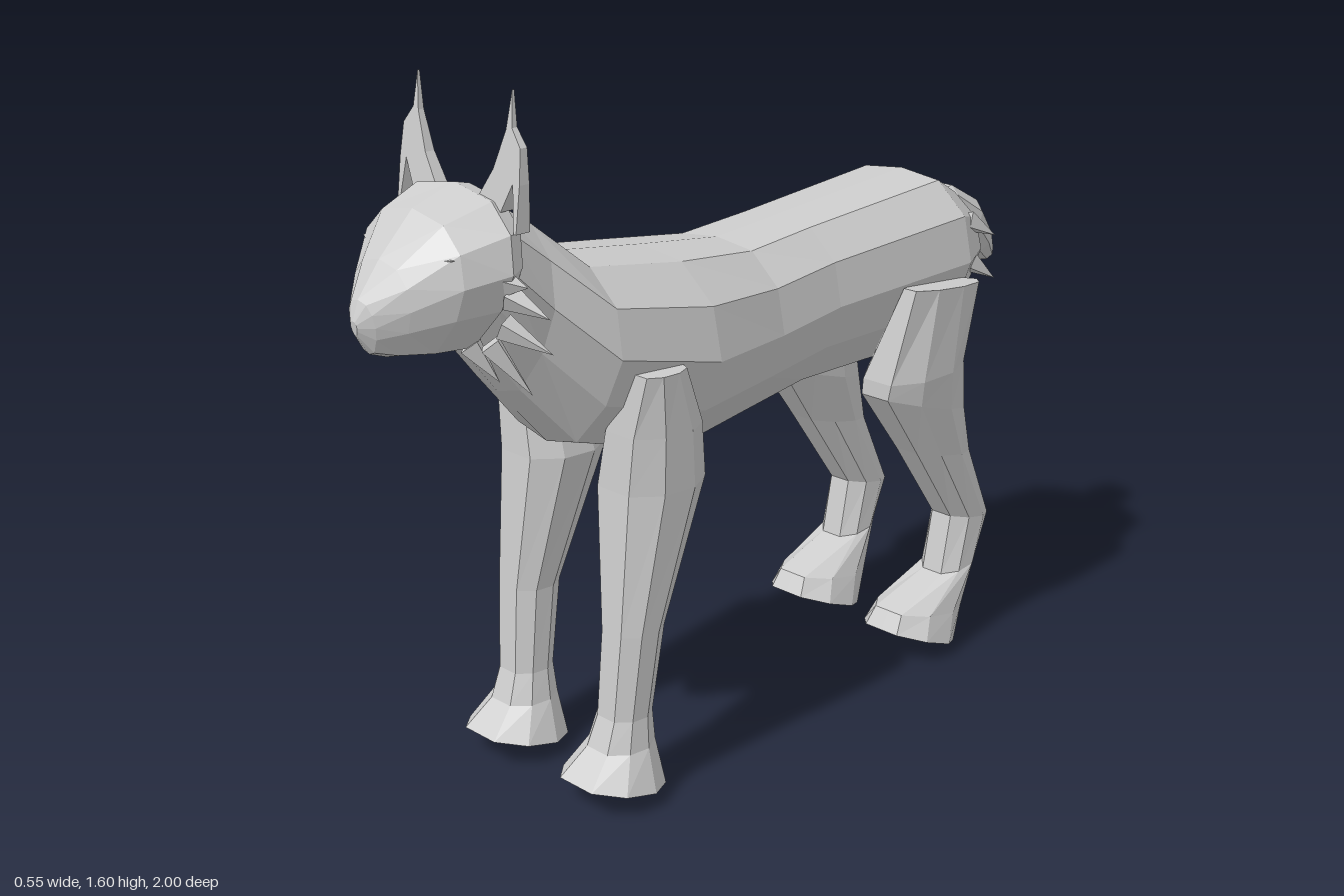
import * as THREE from 'three';

const fur = new THREE.MeshStandardMaterial({ color: 0xcccccc });
fur.name = 'grey fur';

// Half outlines (u across, v along the ring axis), mirrored into closed loops, counter-clockwise.
const closed = half => [...half, ...half.slice(1, -1).reverse().map(([u, v]) => [-u, v])];
const TORSO = closed([[0, -1], [0.42, -0.9], [0.8, -0.42], [1, 0.1], [0.9, 0.6], [0.52, 0.94], [0, 1]]);
const HEAD = closed([[0, -1], [0.45, -0.88], [0.85, -0.35], [1, 0.1], [0.92, 0.55], [0.6, 0.88], [0, 1]]);
const LIMB = closed([[0, -1], [0.65, -0.8], [1, -0.2], [0.92, 0.5], [0.45, 1], [0, 1]]);

// Faceted skin through rings [zA, yA, zB, yB, xMin, xMax], with both ends capped.
function loft(name, outline, rings) {
  const n = outline.length, pos = [], index = [];
  for (const [zA, yA, zB, yB, x0, x1] of rings) {
    for (const [u, v] of outline) {
      const t = (v + 1) / 2;
      pos.push((x0 + x1) / 2 + u * (x1 - x0) / 2, yB + (yA - yB) * t, zB + (zA - zB) * t);
    }
  }
  for (let i = 0; i < rings.length - 1; i++) {
    for (let j = 0; j < n; j++) {
      const a = i * n + j, b = i * n + (j + 1) % n;
      index.push(a, b, b + n, a, b + n, a + n);
    }
  }
  const last = (rings.length - 1) * n;
  for (let j = 1; j < n - 1; j++) {
    index.push(0, j + 1, j, last, last + j, last + j + 1);
  }
  const indexed = new THREE.BufferGeometry();
  indexed.setAttribute('position', new THREE.Float32BufferAttribute(pos, 3));
  indexed.setIndex(index);
  return mesh(name, indexed);
}

function mesh(name, geometry) {
  const flat = geometry.index ? geometry.toNonIndexed() : geometry;
  flat.computeVertexNormals();
  const m = new THREE.Mesh(flat, fur);
  m.name = name;
  return m;
}

// Pointed fur tuft from a base point to a tip
function tuft(name, base, tip, radius) {
  const a = new THREE.Vector3(...base), b = new THREE.Vector3(...tip);
  const dir = b.clone().sub(a), len = dir.length();
  const cone = new THREE.ConeGeometry(radius, len, 4).translate(0, len / 2, 0);
  cone.applyQuaternion(new THREE.Quaternion().setFromUnitVectors(new THREE.Vector3(0, 1, 0), dir.normalize()));
  cone.translate(a.x, a.y, a.z);
  return mesh(name, cone);
}

const symmetric = rings => rings.map(([zA, yA, zB, yB, w]) => [zA, yA, zB, yB, -w, w]);
const onSide = (rings, s) => rings.map(([zA, yA, zB, yB, i, o]) =>
  [zA, yA, zB, yB, s > 0 ? i : -o, s > 0 ? o : -i]);

// Rings run from rump to neck: top z, top y, bottom z, bottom y, half width
const BODY = [
  [-0.80, 1.09, -0.82, 0.93, 0.08],
  [-0.75, 1.15, -0.77, 0.84, 0.17],
  [-0.65, 1.205, -0.66, 0.76, 0.22],
  [-0.20, 1.17, -0.20, 0.765, 0.20],
  [0, 1.155, 0, 0.74, 0.21],
  [0.24, 1.185, 0.24, 0.715, 0.25],
  [0.49, 1.22, 0.52, 0.805, 0.225],
  [0.62, 1.33, 0.65, 0.95, 0.17],
  [0.72, 1.395, 0.76, 1.09, 0.165],
];
const SKULL = [
  [0.70, 1.40, 0.74, 1.10, 0.175],
  [0.74, 1.41, 0.78, 1.075, 0.195],
  [0.845, 1.375, 0.86, 1.08, 0.16],
  [0.93, 1.29, 0.925, 1.09, 0.09],
  [0.985, 1.22, 0.965, 1.105, 0.04],
  [1.0, 1.18, 0.995, 1.15, 0.01],
];
const TAIL = [
  [-1.0, 0.95, -0.98, 0.905, 0.035],
  [-0.97, 1.01, -0.93, 0.935, 0.055],
  [-0.92, 1.08, -0.865, 0.985, 0.065],
  [-0.82, 1.135, -0.80, 1.05, 0.055],
  [-0.75, 1.12, -0.75, 1.06, 0.04],
];
// Legs run downwards: front z, front y, back z, back y, inner x, outer x
const FRONT_LEG = [
  [0.46, 0.99, 0.34, 0.99, 0.19, 0.272],
  [0.47, 0.85, 0.265, 0.85, 0.08, 0.27],
  [0.475, 0.72, 0.245, 0.72, 0.05, 0.265],
  [0.50, 0.40, 0.37, 0.40, 0.105, 0.238],
  [0.515, 0.20, 0.40, 0.20, 0.105, 0.225],
  [0.54, 0.13, 0.395, 0.13, 0.09, 0.235],
  [0.605, 0.07, 0.38, 0.02, 0.05, 0.275],
];
const HIND_LEG = [
  [-0.41, 0.99, -0.665, 0.965, 0.19, 0.272],
  [-0.365, 0.76, -0.645, 0.77, 0.08, 0.272],
  [-0.365, 0.72, -0.67, 0.63, 0.08, 0.26],
  [-0.49, 0.55, -0.70, 0.51, 0.10, 0.245],
  [-0.64, 0.34, -0.79, 0.315, 0.105, 0.235],
  [-0.61, 0.19, -0.745, 0.215, 0.105, 0.235],
  [-0.45, 0.13, -0.69, 0.09, 0.07, 0.255],
  [-0.425, 0.085, -0.65, 0.003, 0.05, 0.272],
];
// Cheek tufts: base, tip
const RUFF = [
  [[0.17, 1.24, 0.76], [0.215, 1.235, 0.74]],
  [[0.17, 1.21, 0.75], [0.255, 1.175, 0.72]],
  [[0.16, 1.15, 0.76], [0.25, 1.10, 0.71]],
  [[0.13, 1.11, 0.77], [0.185, 1.0, 0.71]],
  [[0.08, 1.10, 0.78], [0.12, 1.02, 0.74]],
];
const RUMP = [
  [[0.165, 1.09, -0.70], [0.195, 1.045, -0.78]],
  [[0.175, 0.99, -0.70], [0.205, 0.94, -0.77]],
];
// Ear outline with a notch at its base
const EAR = [[0.185, 1.335], [0.185, 1.43], [0.18, 1.50], [0.152, 1.535], [0.145, 1.607], [0.135, 1.53],
  [0.105, 1.45], [0.065, 1.39], [0.135, 1.37], [0.165, 1.43], [0.178, 1.335]];

function ear(name, s) {
  const shape = new THREE.Shape(EAR.map(([x, y]) => new THREE.Vector2(s * x, y)));
  const g = new THREE.ExtrudeGeometry(shape, { depth: 1, bevelEnabled: false });
  const p = g.attributes.position;
  // Thin the ear towards its tip and lean it slightly back
  for (let i = 0; i < p.count; i++) {
    const t = Math.max(0, (p.getY(i) - 1.335) / 0.272);
    p.setZ(i, 0.705 - 0.005 * t + p.getZ(i) * 0.036 * (1 - 0.85 * t));
  }
  return mesh(name, g);
}

export function createModel() {
  const cat = new THREE.Group();
  cat.name = 'wildCat';
  cat.add(loft('body', TORSO, symmetric(BODY)));
  cat.add(loft('head', HEAD, symmetric(SKULL)));
  cat.add(loft('tail', LIMB, symmetric(TAIL)));
  for (const s of [1, -1]) {
    const side = s > 0 ? 'left' : 'right';
    const flip = ([x, y, z]) => [s * x, y, z];
    cat.add(loft(side + 'FrontLeg', LIMB, onSide(FRONT_LEG, s)));
    cat.add(loft(side + 'HindLeg', LIMB, onSide(HIND_LEG, s)));
    cat.add(ear(side + 'Ear', s));
    for (const [a, b] of RUFF) cat.add(tuft(side + 'CheekTuft', flip(a), flip(b), 0.028));
    for (const [a, b] of RUMP) cat.add(tuft(side + 'RumpTuft', flip(a), flip(b), 0.03));
    // Small brow ridge marking the eye
    cat.add(tuft(side + 'Eye', flip([0.085, 1.29, 0.875]), flip([0.145, 1.3, 0.86]), 0.014));
  }
  return cat;
}
